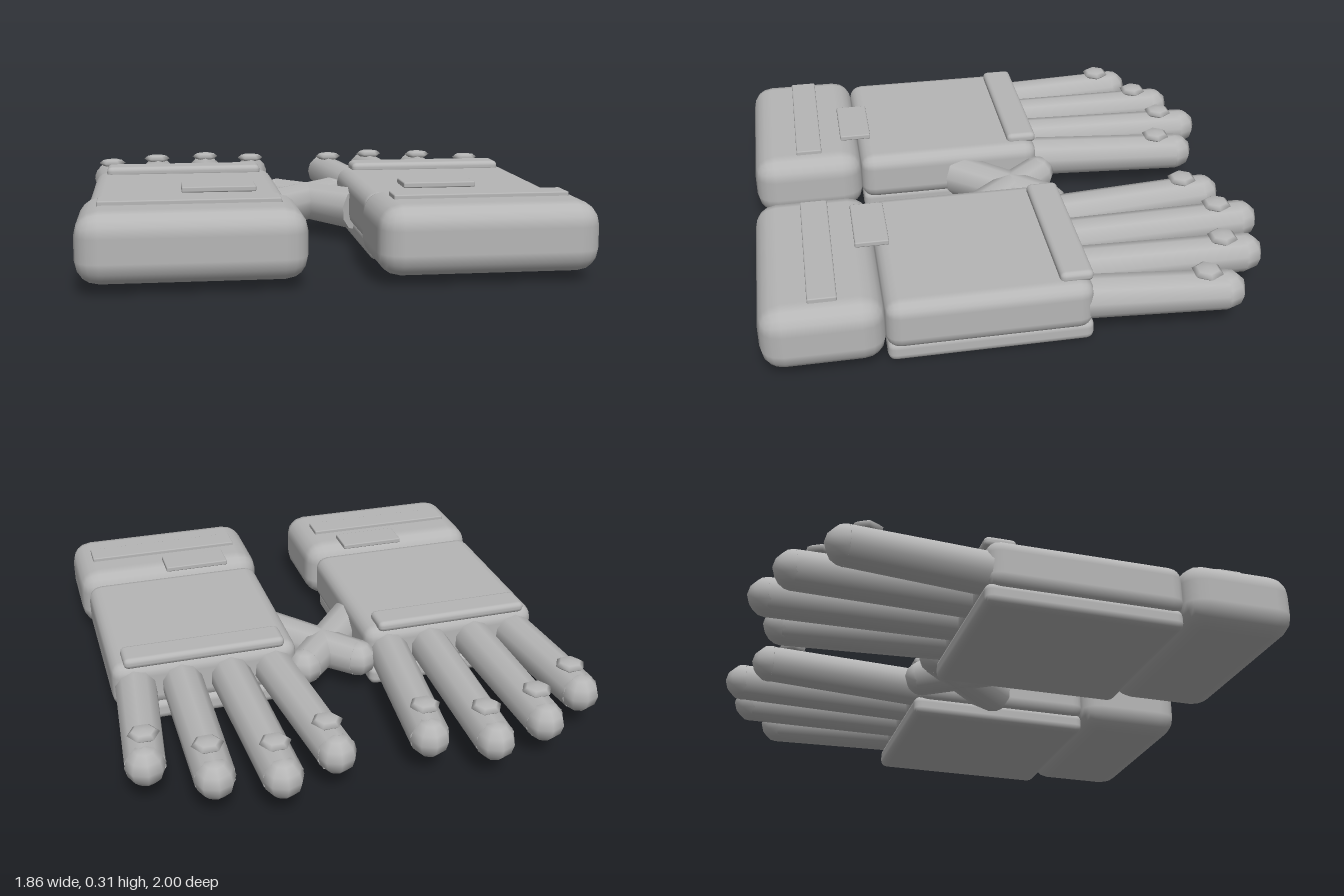
import * as THREE from 'three';
import { RoundedBoxGeometry } from 'three/addons/geometries/RoundedBoxGeometry.js';

const grey = new THREE.MeshStandardMaterial({ color: 0xb6b6b6 });
grey.name = 'glove grey';

function add(parent, name, geometry, x = 0, y = 0, z = 0) {
  const mesh = new THREE.Mesh(geometry, grey);
  mesh.name = name;
  mesh.position.set(x, y, z);
  parent.add(mesh);
  return mesh;
}

// Rounded block given by its extents on each axis
function block(parent, name, [x0, x1], [y0, y1], [z0, z1], radius, segments = 2) {
  const geometry = new RoundedBoxGeometry(x1 - x0, y1 - y0, z1 - z0, segments, radius);
  return add(parent, name, geometry, (x0 + x1) / 2, (y0 + y1) / 2, (z0 + z1) / 2);
}

// Tapered limb with a rounded tip
function digit(parent, name, base, tip, baseRadius, tipRadius) {
  const group = new THREE.Group();
  group.name = name;
  const a = new THREE.Vector3(...base);
  const b = new THREE.Vector3(...tip);
  const dir = b.clone().sub(a);
  const shaft = add(group, name + 'Shaft',
    new THREE.CylinderGeometry(tipRadius, baseRadius, dir.length(), 10));
  shaft.position.copy(a).add(b).multiplyScalar(0.5);
  shaft.quaternion.setFromUnitVectors(new THREE.Vector3(0, 1, 0), dir.normalize());
  add(group, name + 'Tip', new THREE.SphereGeometry(tipRadius, 8, 6), ...tip);
  parent.add(group);
}

// One glove: side = 1 is the left (+x), side = -1 its mirror
function createGlove(side) {
  const glove = new THREE.Group();
  glove.name = side > 0 ? 'leftGlove' : 'rightGlove';
  const span = (a, b) => (side > 0 ? [a, b] : [-b, -a]);

  block(glove, 'cuff', span(0.12, 0.92), [0.03, 0.285], [0.55, 1.0], 0.085);
  block(glove, 'palm', span(0.145, 0.895), [0.06, 0.26], [-0.21, 0.555], 0.055);
  block(glove, 'palmPad', span(0.165, 0.875), [0, 0.085], [-0.215, 0.55], 0.03);
  block(glove, 'knuckleBar', span(0.2, 0.845), [0.245, 0.29], [-0.21, -0.085], 0.02);
  block(glove, 'cuffBand', span(0.2, 0.845), [0.275, 0.3], [0.715, 0.82], 0.005, 1);
  block(glove, 'cuffTab', span(0.275, 0.548), [0.293, 0.314], [0.502, 0.63], 0.005, 1);

  // Fingers: base x, tip x, tip centre z, nail x, nail z
  const fingers = [
    ['indexFinger', 0.248, 0.18, -0.838, 0.19, -0.75],
    ['middleFinger', 0.426, 0.402, -0.925, 0.404, -0.825],
    ['ringFinger', 0.62, 0.632, -0.862, 0.636, -0.77],
    ['littleFinger', 0.802, 0.853, -0.715, 0.842, -0.64],
  ];
  for (const [name, baseX, tipX, tipZ, nailX, nailZ] of fingers) {
    digit(glove, name, [side * baseX, 0.152, -0.17], [side * tipX, 0.152, tipZ], 0.083, 0.076);
    const nail = add(glove, name + 'Pad', new THREE.SphereGeometry(0.06, 6, 4),
      side * nailX, 0.236, nailZ);
    nail.scale.y = 0.32;
  }

  // Thumb reaches across the middle and crosses its mirror
  digit(glove, 'thumb', [side * 0.18, 0.132, 0.14], [side * -0.115, 0.14, -0.2], 0.088, 0.074);
  return glove;
}

export function createModel() {
  const model = new THREE.Group();
  model.name = 'pairOfGloves';
  model.add(createGlove(1), createGlove(-1));
  return model;
}
